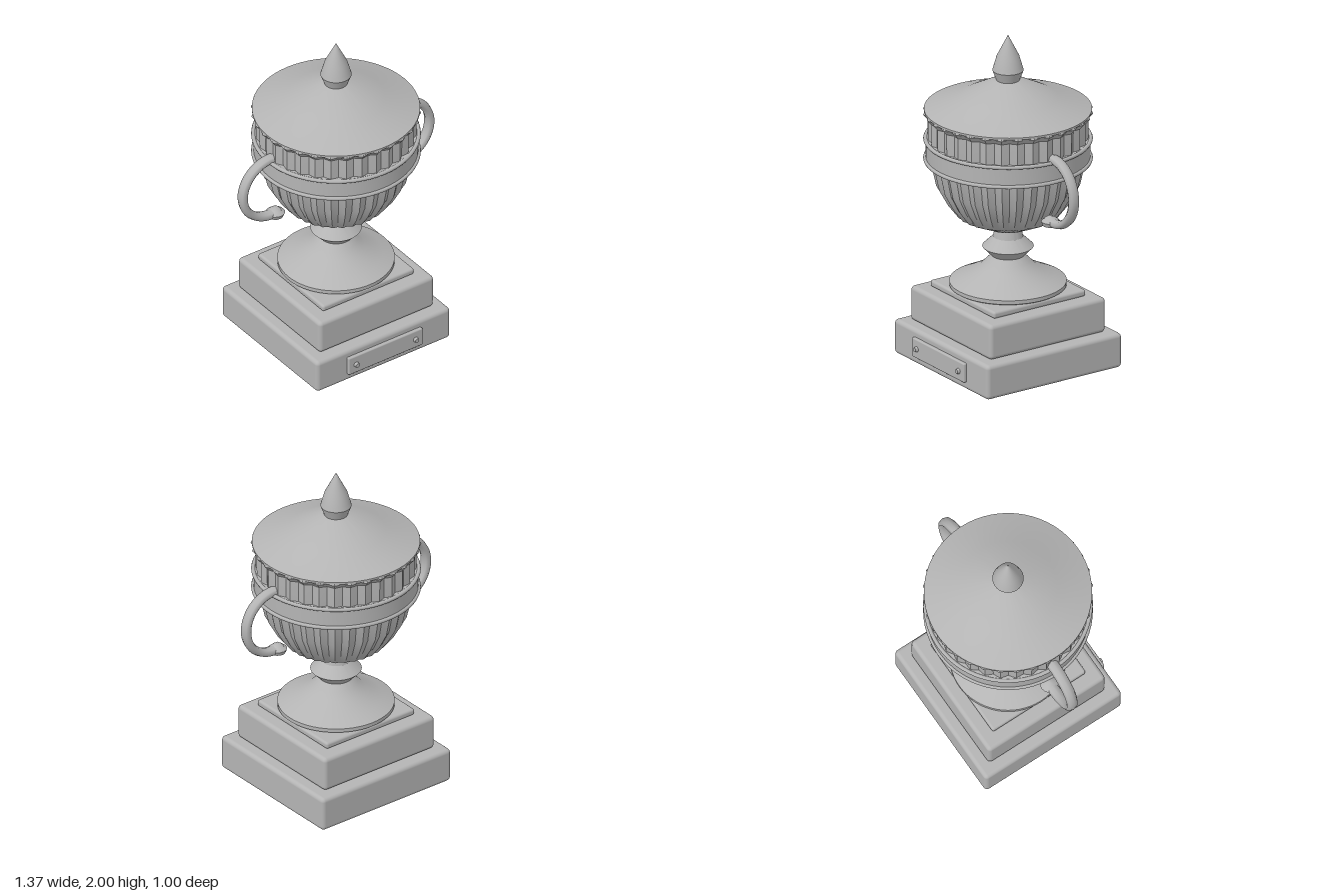
import * as THREE from 'three';
import { toCreasedNormals } from 'three/addons/utils/BufferGeometryUtils.js';
import { RoundedBoxGeometry } from 'three/addons/geometries/RoundedBoxGeometry.js';

export function createModel() {
  const model = new THREE.Group();
  model.name = 'trophyCup';
  const metal = new THREE.MeshStandardMaterial({ color: 0xb4b4b4, side: THREE.DoubleSide });
  metal.name = 'grey metal';

  const trophy = new THREE.Group();
  trophy.name = 'trophy';
  trophy.position.z = -0.007;
  model.add(trophy);

  const add = (name, geometry, x = 0, y = 0, z = 0, parent = trophy) => {
    const mesh = new THREE.Mesh(geometry, metal);
    mesh.name = name;
    mesh.position.set(x, y, z);
    parent.add(mesh);
    return mesh;
  };

  // Turned part from [radius, height] pairs, listed bottom to top
  const lathe = (profile, segments = 64) =>
    new THREE.LatheGeometry(profile.map(([r, y]) => new THREE.Vector2(r, y)), segments);
  const turned = (name, profile, segments) =>
    add(name, toCreasedNormals(lathe(profile, segments), 0.5));

  // Stepped square plinth
  const block = (name, width, y0, y1, radius) =>
    add(name, new RoundedBoxGeometry(width, y1 - y0, width, 3, radius), 0, (y0 + y1) / 2);
  block('lowerPlinth', 0.944, 0, 0.21, 0.025);
  block('upperPlinth', 0.81, 0.21, 0.422, 0.025);
  block('footPlate', 0.645, 0.422, 0.463, 0.015);

  // Name plate with two rivets
  add('plaque', new RoundedBoxGeometry(0.524, 0.117, 0.03, 2, 0.008), 0, 0.107, 0.477);
  for (const side of [-1, 1]) {
    const rivet = new THREE.CylinderGeometry(0.013, 0.018, 0.02, 12);
    rivet.rotateX(Math.PI / 2);
    add('rivet', toCreasedNormals(rivet, 0.7), side * 0.21, 0.107, 0.498);
  }

  // Foot and stem
  turned('foot', [[0, 0.463], [0.325, 0.463], [0.337, 0.47], [0.337, 0.493],
    [0.27, 0.525], [0.165, 0.58], [0.125, 0.62], [0.095, 0.652]]);
  turned('stemKnop', [[0.095, 0.65], [0.148, 0.705], [0.086, 0.765], [0.073, 0.83]]);

  // Fluted bowl: radius shrinks in the grooves
  const bowl = lathe([[0, 0.825], [0.12, 0.825], [0.295, 0.905], [0.36, 0.99], [0.415, 1.09],
    [0.45, 1.25], [0.462, 1.38], [0.463, 1.5], [0.49, 1.53], [0.485, 1.542]], 128);
  const pos = bowl.attributes.position;
  for (let i = 0; i < pos.count; i++) {
    const angle = Math.atan2(pos.getX(i), pos.getZ(i));
    const k = 1 - 0.02 * (1 + Math.cos(32 * angle));
    pos.setX(i, pos.getX(i) * k);
    pos.setZ(i, pos.getZ(i) * k);
  }
  add('flutedBowl', toCreasedNormals(bowl, 0.6));

  // Band with a bead at each edge
  turned('band', [[0.44, 1.24], [0.473, 1.24], [0.473, 1.37], [0.44, 1.37]]);
  for (const y of [1.245, 1.365]) {
    const bead = new THREE.TorusGeometry(0.475, 0.012, 8, 64);
    bead.rotateX(Math.PI / 2);
    add('bandBead', bead, 0, y);
  }

  // Lid and finial
  turned('lid', [[0, 1.53], [0.475, 1.53], [0.483, 1.538], [0.483, 1.55],
    [0.285, 1.622], [0.085, 1.725], [0, 1.725]]);
  turned('finial', [[0.065, 1.72], [0.09, 1.785], [0.083, 1.81], [0.065, 1.872], [0, 2]], 32);

  // C-shaped handles, each ending in a small flared terminal
  for (const side of [1, -1]) {
    const handle = new THREE.Group();
    handle.name = side > 0 ? 'leftHandle' : 'rightHandle';
    handle.rotation.y = side > 0 ? 0 : Math.PI;
    trophy.add(handle);
    const deg = Math.PI / 180;
    const loop = new THREE.TorusGeometry(0.196, 0.026, 8, 40, 208 * deg);
    loop.rotateZ(-108 * deg);
    loop.scale(1, 1, 1.35);
    add('handleLoop', loop, 0.463, 1.183, 0, handle);
    const tip = lathe([[0, 0.965], [0.046, 0.965], [0.056, 0.99], [0.03, 1.012], [0, 1.022]], 16);
    add('handleTip', toCreasedNormals(tip, 0.6), 0.428, 0, 0, handle);
  }

  return model;
}
